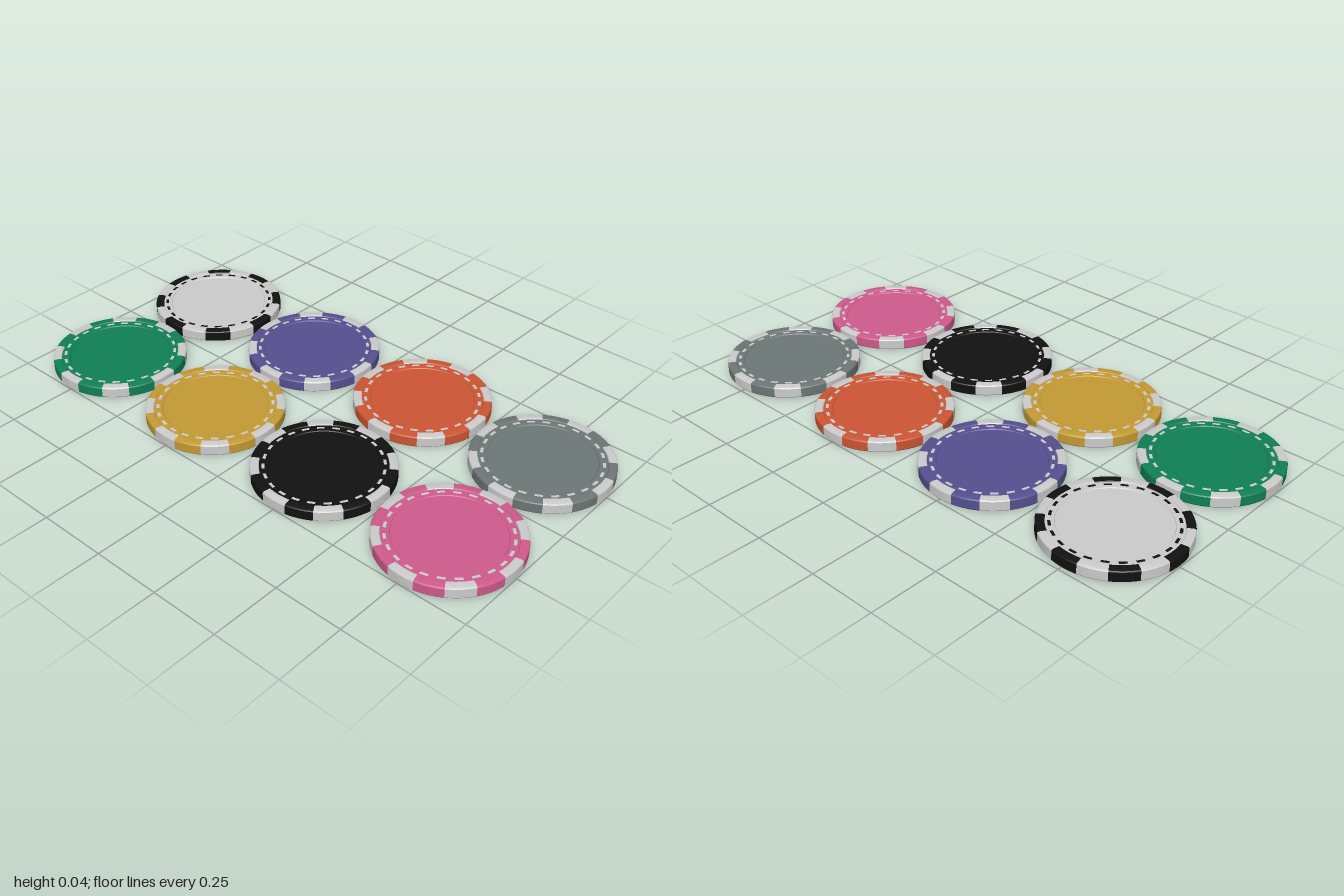
import * as THREE from 'three';
import { mergeGeometries, toCreasedNormals } from 'three/addons/utils/BufferGeometryUtils.js';

const H = 0.042;          // chip height
const STEPS = 96;         // segments around a full turn
const WHITE = 0xcccccc, BLACK = 0x111111;

// Revolved profile, over the whole turn or part of it
function lathe(profile, steps = STEPS, start = 0) {
  const points = profile.map(([r, y]) => new THREE.Vector2(r, y));
  const arc = (steps / STEPS) * Math.PI * 2;
  return toCreasedNormals(new THREE.LatheGeometry(points, steps, start, arc), 0.6);
}

// Every other one of 2n equal sectors; odd = 0 is centred on the front
function sectors(profile, n, odd) {
  const steps = STEPS / (2 * n), arc = Math.PI / n, list = [];
  for (let i = 0; i < n; i++) list.push(lathe(profile, steps, (2 * i + odd - 0.5) * arc));
  return mergeGeometries(list);
}

// The same profile turned over for the underside
const flip = (profile) => profile.map(([r, y]) => [r, H - y]).reverse();

function chipGeometries() {
  const rim = [[0.212, 0.003], [0.214, 0], [0.235, 0], [0.24, 0.0015], [0.2425, 0.005],
    [0.2425, H - 0.005], [0.24, H - 0.0015], [0.235, H], [0.214, H], [0.212, H - 0.003]];
  const outerRing = [[0.212, H - 0.003], [0.204, H - 0.003]];
  const dashRing = [[0.204, H - 0.003], [0.194, H - 0.003]];
  const face = [[0.194, H - 0.003], [0.183, H - 0.003], [0.181, H - 0.006], [0, H - 0.006]];
  const both = (make, profile) => [make(profile), make(flip(profile))];
  return {
    body: mergeGeometries([
      ...both(lathe1, outerRing), ...both(lathe1, face),
      sectors(rim, 8, 1), ...both((p) => sectors(p, 24, 1), dashRing),
    ]),
    edgeSpots: sectors(rim, 8, 0),
    dashes: mergeGeometries(both((p) => sectors(p, 24, 0), dashRing)),
  };
}
const lathe1 = (profile) => lathe(profile);

export function createModel() {
  const model = new THREE.Group();
  model.name = 'chipSet';
  const parts = chipGeometries();

  // name, x, z, body colour, marking colour
  const chips = [
    ['greenChip', -0.257, -0.758, 0x0f8055, WHITE],
    ['whiteChip', 0.246, -0.757, WHITE, BLACK],
    ['yellowChip', -0.257, -0.256, 0xc49a33, WHITE],
    ['purpleChip', 0.247, -0.252, 0x55508f, WHITE],
    ['blackChip', -0.257, 0.248, BLACK, WHITE],
    ['orangeChip', 0.257, 0.25, 0xcc5533, WHITE],
    ['pinkChip', -0.257, 0.757, 0xcf5a8c, WHITE],
    ['greyChip', 0.246, 0.757, 0x6d7775, WHITE],
  ];
  for (const [name, x, z, color, marking] of chips) {
    const chip = new THREE.Group();
    chip.name = name;
    const bodyMaterial = new THREE.MeshStandardMaterial({ color });
    const markingMaterial = new THREE.MeshStandardMaterial({ color: marking });
    for (const [part, geometry] of Object.entries(parts)) {
      const mesh = new THREE.Mesh(geometry, part === 'body' ? bodyMaterial : markingMaterial);
      mesh.name = part;
      chip.add(mesh);
    }
    chip.position.set(x, 0, z);
    model.add(chip);
  }
  return model;
}
